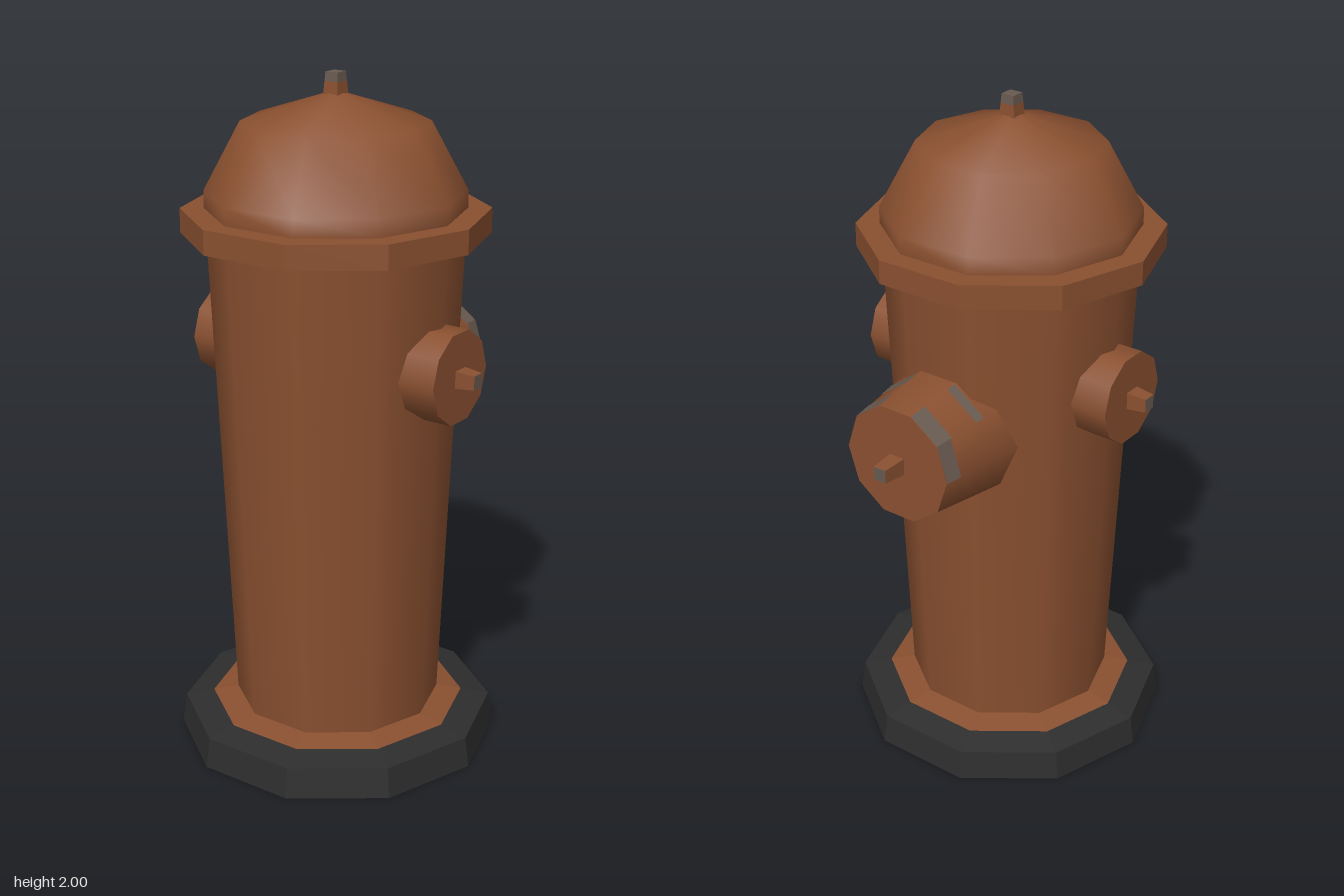
import * as THREE from 'three';

const SIDES = 10;
const STEP = (Math.PI * 2) / SIDES;
const AXIS_Z = 0.073;

export function createModel() {
  const paint = new THREE.MeshStandardMaterial({ color: 0x8a5030, side: THREE.DoubleSide });
  paint.name = 'rusty brown paint';
  const flatPaint = new THREE.MeshStandardMaterial({ color: 0x8a5030, flatShading: true, side: THREE.DoubleSide });
  flatPaint.name = 'rusty brown paint, faceted';
  const rubber = new THREE.MeshStandardMaterial({ color: 0x2d2d2d, flatShading: true, side: THREE.DoubleSide });
  rubber.name = 'dark base';
  const metal = new THREE.MeshStandardMaterial({ color: 0x685a50, flatShading: true, side: THREE.DoubleSide });
  metal.name = 'bare metal';

  const model = new THREE.Group();
  model.name = 'hydrant';
  const column = new THREE.Group();
  column.name = 'column';
  column.position.z = AXIS_Z;
  model.add(column);

  function add(parent, name, geometry, material, y = 0) {
    const mesh = new THREE.Mesh(geometry, material);
    mesh.name = name;
    mesh.position.y = y;
    parent.add(mesh);
    return mesh;
  }

  // Ten-sided turned shape with corners on the x axis
  function turned(name, profile, material) {
    const points = profile.map(([r, y]) => new THREE.Vector2(r, y));
    return add(column, name, new THREE.LatheGeometry(points, SIDES, STEP / 2), material);
  }

  // Tapered square bolt standing on y, worn to metal from wornFrom (0..1) upward
  function addBolt(parent, name, y, height, wornFrom) {
    const bolt = new THREE.Group();
    bolt.name = name;
    bolt.position.y = y;
    parent.add(bolt);
    const radius = (t) => (0.025 - 0.005 * t) * Math.SQRT2;
    const part = (partName, a, b, materials) => add(bolt, partName,
      new THREE.CylinderGeometry(radius(b), radius(a), (b - a) * height, 4, 1, false, Math.PI / 4),
      materials, ((a + b) / 2) * height);
    part('boltShank', 0, wornFrom, [flatPaint, metal, flatPaint]);
    if (wornFrom < 1) part('boltTip', wornFrom, 1, metal);
  }

  // Base, open underneath
  turned('base', [[0.478, 0], [0.465, 0.09], [0.38, 0.106]], rubber);
  turned('baseCollar', [[0.38, 0.106], [0.305, 0.12]], flatPaint);

  // Tapered barrel
  turned('barrel', [[0.305, 0.12], [0.366, 1.55]], paint);

  // Flange ring
  turned('flange', [[0.366, 1.55], [0.438, 1.55], [0.438, 1.62], [0.37, 1.62]], flatPaint);

  // Domed bonnet and its bolt
  turned('bonnet', [[0.37, 1.62], [0.37, 1.67], [0.265, 1.865], [0, 1.95]], paint);
  addBolt(column, 'bonnetBolt', 1.935, 0.065, 0.6);

  // Side outlets
  for (const side of [1, -1]) {
    const outlet = new THREE.Group();
    outlet.name = side > 0 ? 'leftOutlet' : 'rightOutlet';
    outlet.position.y = 1.2;
    outlet.rotation.z = -side * Math.PI / 2;
    column.add(outlet);
    add(outlet, 'outletCap', new THREE.CylinderGeometry(0.136, 0.136, 0.17, SIDES), paint, 0.335);
    addBolt(outlet, 'outletBolt', 0.42, 0.058, 1);
  }

  // Large rear outlet; local y points backward from the column axis
  const rear = new THREE.Group();
  rear.name = 'rearOutlet';
  rear.position.y = 1.085;
  rear.rotation.x = -Math.PI / 2;
  column.add(rear);
  const near = 0.22, far = 0.527;
  const rearRadius = (d) => THREE.MathUtils.mapLinear(d, near, far, 0.216, 0.174);
  add(rear, 'rearCap',
    new THREE.CylinderGeometry(rearRadius(far), rearRadius(near), far - near, SIDES, 1, false, STEP / 2),
    paint, (near + far) / 2);
  addBolt(rear, 'rearBolt', far, 0.073, 1);

  // Worn paint on the rear cap: facet, start and end along the cap
  const worn = [
    [-3, 0.475, far], [-2, 0.47, far], [0, 0.465, far], [1, 0.475, far],
    [-2, 0.345, 0.375], [0, 0.35, 0.405],
  ];
  for (const [facet, a, b] of worn) {
    add(rear, 'wornPatch',
      new THREE.CylinderGeometry(rearRadius(b) + 0.002, rearRadius(a) + 0.002, b - a, 1, 1, true,
        STEP * (facet + 0.5), STEP),
      metal, (a + b) / 2);
  }

  return model;
}
